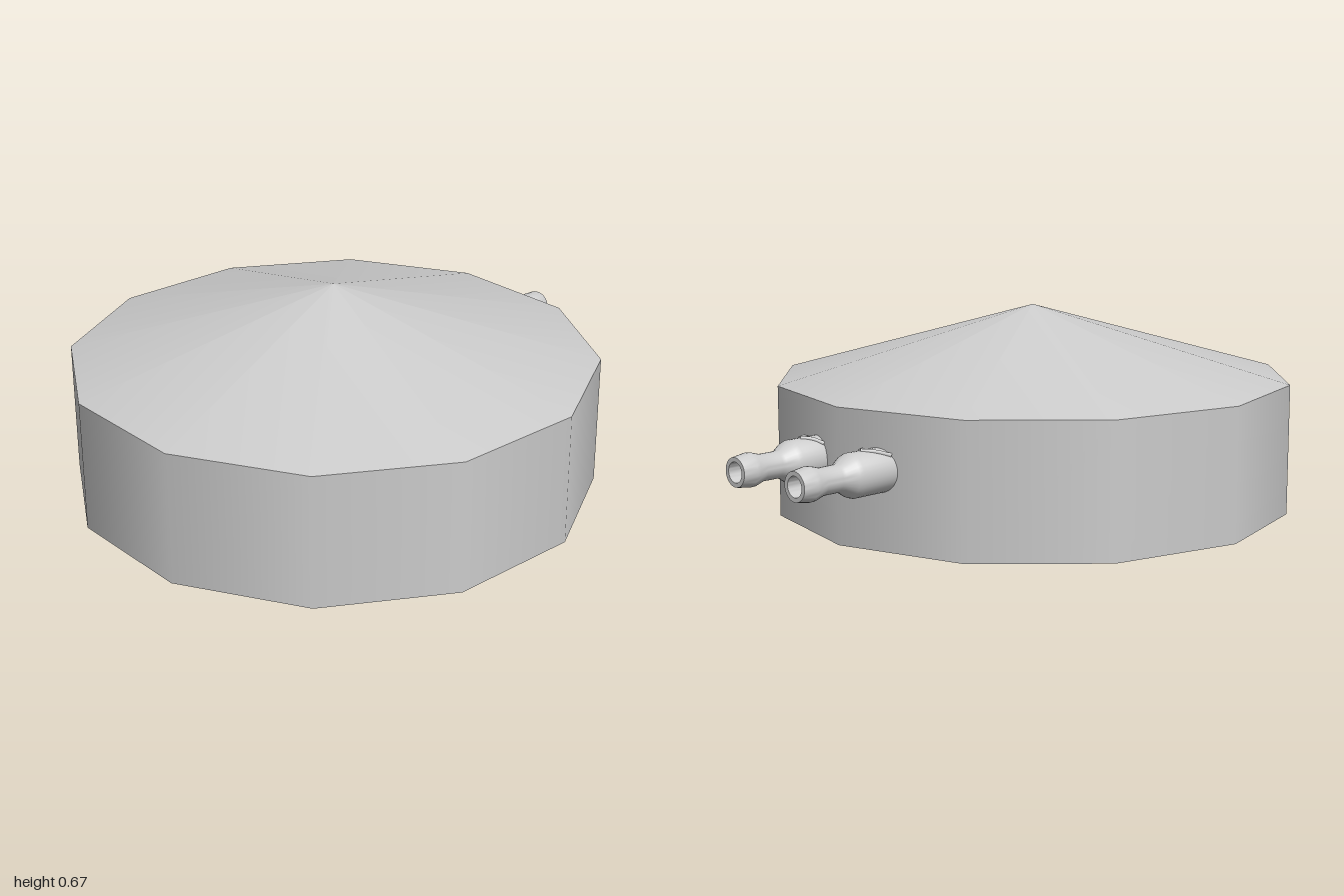
import * as THREE from 'three';
import { toCreasedNormals } from 'three/addons/utils/BufferGeometryUtils.js';

const SIDES = 12, RADIUS = 0.86, WALL = 0.43, PEAK = 0.67, CENTRE_Z = 0.14;
const PORT_X = 0.14, PORT_Y = 0.25, PORT_R = 0.069;
const material = new THREE.MeshStandardMaterial({ color: 0xcccccc, side: THREE.DoubleSide });

function part(name, geometry) {
  const mesh = new THREE.Mesh(geometry, material);
  mesh.name = name;
  return mesh;
}

// z of the rear wall at a given x (two facets meet at x = 0)
const wallZ = (x) => CENTRE_Z - RADIUS + Math.abs(x) * Math.tan(Math.PI / SIDES);

// Barbed hose connector on the rear wall; its base is trimmed to the slanted facet
function hosePort(side) {
  const port = new THREE.Group();
  port.name = side > 0 ? 'leftHosePort' : 'rightHosePort';

  // Pairs of radius and distance behind the centre, ending inside the bore
  const profile = [
    [PORT_R, 0.68], [PORT_R, 0.79], [0.064, 0.805], [0.044, 0.837], [0.042, 0.85],
    [0.042, 0.907], [0.052, 0.94], [0.053, 0.955], [0.046, 1], [0.032, 1], [0.03, 0.8], [0, 0.8],
  ].map(([r, d]) => new THREE.Vector2(r, d));
  const body = new THREE.LatheGeometry(profile, 32);
  body.rotateX(-Math.PI / 2).translate(side * PORT_X, PORT_Y, 0);
  const p = body.attributes.position;
  for (let i = 0; i < p.count; i++) {
    if (p.getZ(i) > -0.7) p.setZ(i, wallZ(p.getX(i)));
  }
  port.add(part('barbedTube', toCreasedNormals(body, 0.6)));

  // Two small ribs fanning out over the top towards the wall
  for (const s of [-1, 1]) {
    const points = [0, 0.5, 1].map((t) => {
      const a = s * 0.75 * t;
      const x = side * PORT_X + Math.sin(a) * PORT_R;
      return new THREE.Vector3(x, PORT_Y + Math.cos(a) * PORT_R, THREE.MathUtils.lerp(-0.75, wallZ(x), t));
    });
    const curve = new THREE.CatmullRomCurve3(points);
    port.add(part('rib', new THREE.TubeGeometry(curve, 8, 0.007, 8)));
  }
  return port;
}

export function createModel() {
  const model = new THREE.Group();
  model.name = 'coveredBasin';

  // Thin twelve-sided wall, open underneath
  const wall = part('wall', new THREE.CylinderGeometry(RADIUS, RADIUS, WALL, SIDES, 1, true));
  wall.position.set(0, WALL / 2, CENTRE_Z);

  // Shallow conical roof
  const roof = part('roof', new THREE.ConeGeometry(RADIUS, PEAK - WALL, SIDES, 1, true));
  roof.position.set(0, (WALL + PEAK) / 2, CENTRE_Z);

  model.add(wall, roof, hosePort(1), hosePort(-1));
  return model;
}
